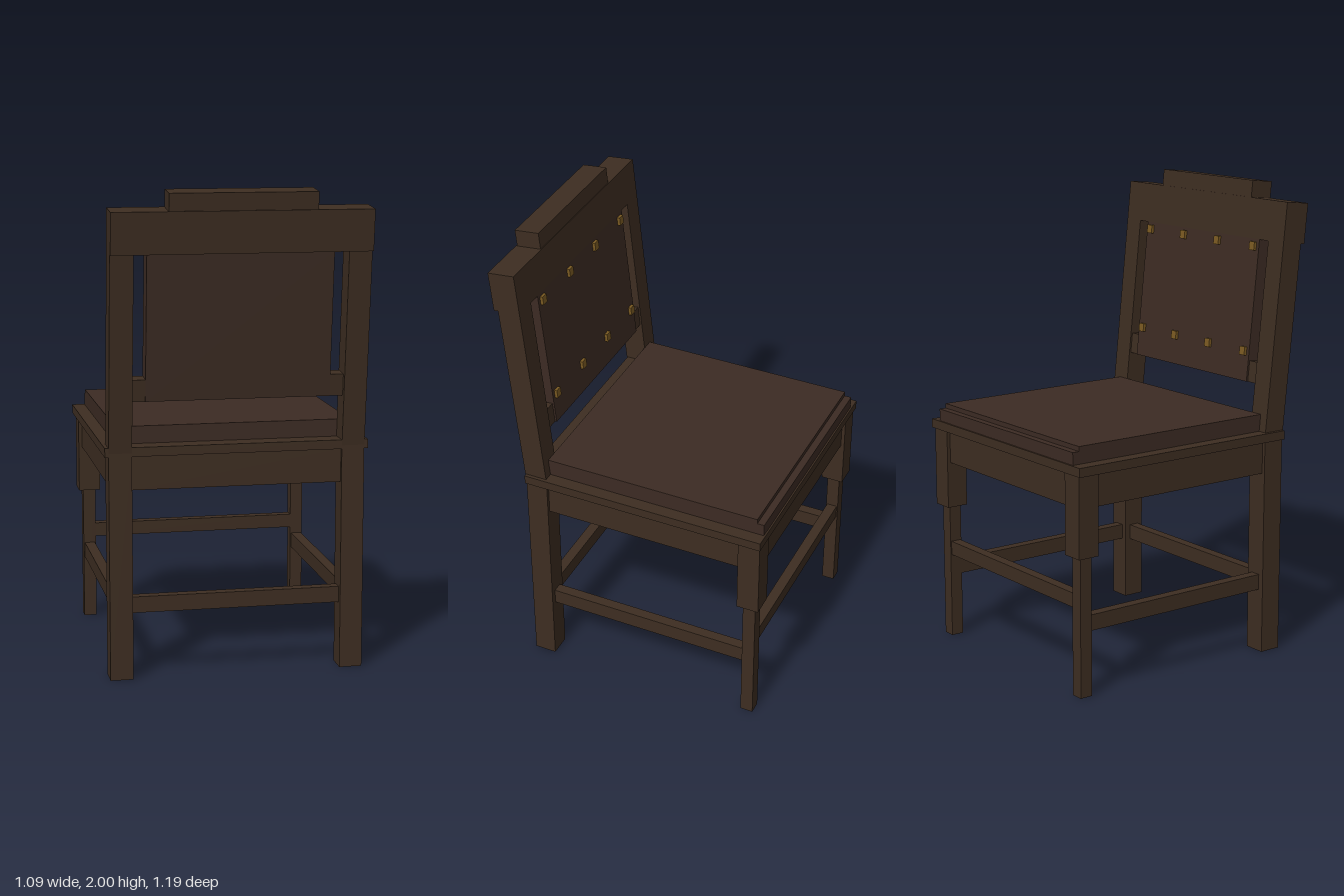
import * as THREE from 'three';

export function createModel() {
  const chair = new THREE.Group();
  chair.name = 'chair';
  const make = (name, color) => {
    const m = new THREE.MeshStandardMaterial({ color });
    m.name = name;
    return m;
  };
  const wood = make('dark wood', 0x3d2d21);
  const leather = make('brown leather', 0x3c2b23);
  const brass = make('brass', 0x7a5a22);

  // Box given by its [min, max] extents
  function box(name, mat, [x0, x1], [y0, y1], [z0, z1], parent = chair) {
    const mesh = new THREE.Mesh(new THREE.BoxGeometry(x1 - x0, y1 - y0, z1 - z0), mat);
    mesh.position.set((x0 + x1) / 2, (y0 + y1) / 2, (z0 + z1) / 2);
    mesh.name = name;
    parent.add(mesh);
  }
  // The same box on both sides
  function pair(name, mat, [x0, x1], y, z, parent = chair) {
    box(name + 'Left', mat, [x0, x1], y, z, parent);
    box(name + 'Right', mat, [-x1, -x0], y, z, parent);
  }

  // Legs: plain under the backrest, stepped at the other end
  pair('backLeg', wood, [0.435, 0.53], [0, 0.93], [0.38, 0.475]);
  pair('frontLegBlock', wood, [0.435, 0.53], [0.59, 0.93], [-0.585, -0.49]);
  pair('frontLegPost', wood, [0.455, 0.51], [0, 0.59], [-0.565, -0.51]);

  // Aprons under the seat
  pair('sideApron', wood, [0.465, 0.515], [0.79, 0.93], [-0.49, 0.38]);
  box('frontApron', wood, [-0.435, 0.435], [0.79, 0.93], [-0.57, -0.52]);
  box('backApron', wood, [-0.435, 0.435], [0.79, 0.93], [0.41, 0.46]);

  // Stretchers between the legs
  pair('sideStretcher', wood, [0.46, 0.505], [0.275, 0.342], [-0.51, 0.38]);
  box('frontStretcher', wood, [-0.455, 0.455], [0.37, 0.43], [-0.56, -0.515]);
  box('backStretcher', wood, [-0.435, 0.435], [0.275, 0.342], [0.405, 0.45]);

  // Seat board and cushion with a lower front lip
  box('seatBoard', wood, [-0.545, 0.545], [0.93, 0.968], [-0.592, 0.475]);
  box('cushion', leather, [-0.49, 0.49], [0.968, 1.04], [-0.555, 0.39]);
  box('cushionLip', leather, [-0.49, 0.49], [0.968, 1.02], [-0.585, -0.555]);

  // Backrest, leaning away from the seat
  const back = new THREE.Group();
  back.name = 'backrest';
  back.position.set(0, 0.95, 0.43);
  back.rotation.x = 0.102;
  chair.add(back);
  pair('stile', wood, [0.435, 0.53], [0, 0.81], [-0.05, 0.047], back);
  box('crestRail', wood, [-0.53, 0.53], [0.81, 0.98], [-0.05, 0.066], back);
  box('crestCap', wood, [-0.3, 0.3], [0.98, 1.051], [-0.047, 0.06], back);
  box('lowerRail', wood, [-0.435, 0.435], [0.207, 0.297], [-0.042, 0.025], back);
  box('backPanel', leather, [-0.38, 0.38], [0.207, 0.81], [-0.05, 0.027], back);

  // Two rows of studs on the sitter's side of the panel
  for (const y of [0.335, 0.78])
    for (const x of [-0.348, -0.115, 0.115, 0.348])
      box('stud', brass, [x - 0.016, x + 0.016], [y - 0.018, y + 0.018], [-0.063, -0.05], back);

  return chair;
}
